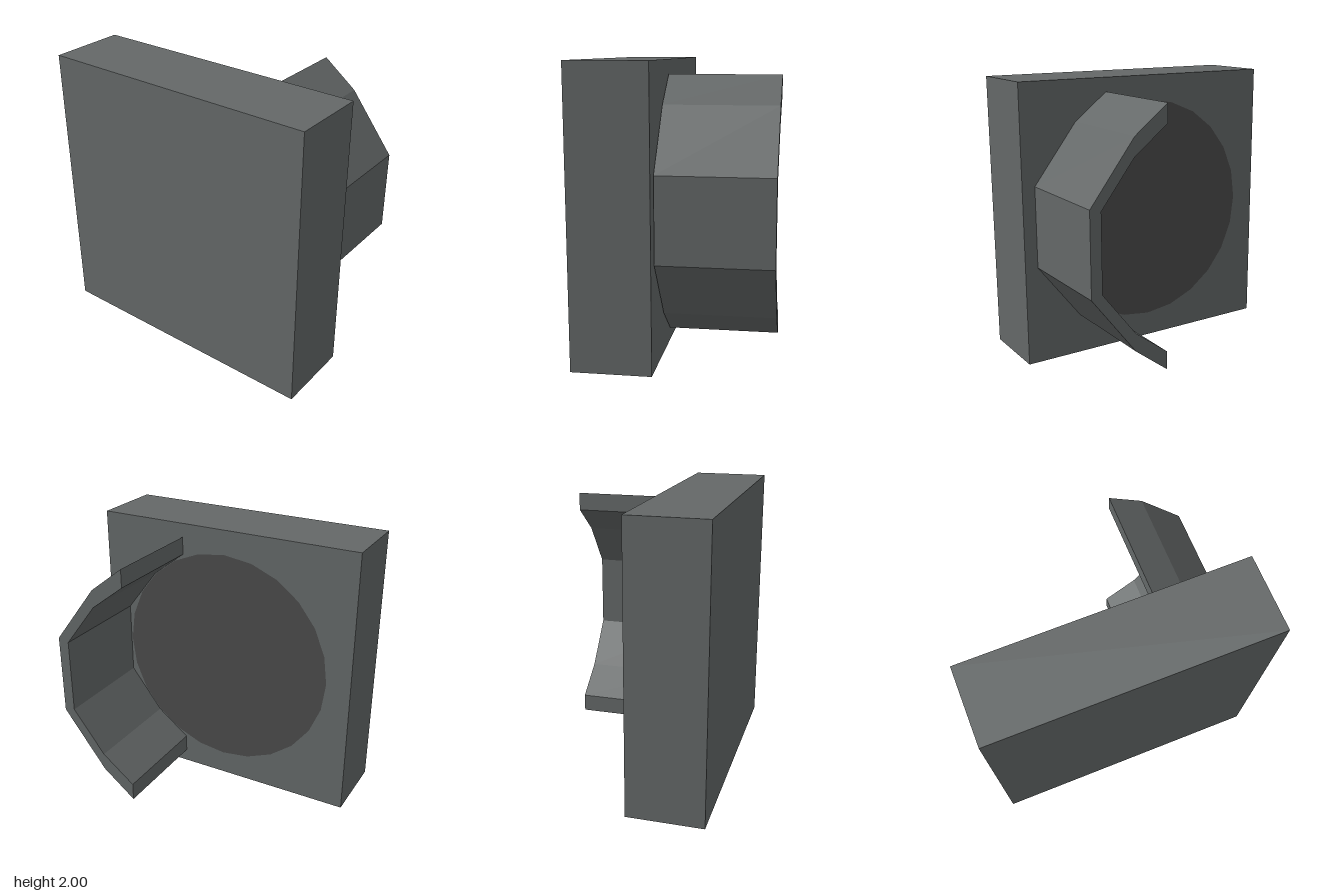
import * as THREE from 'three';

export function createModel() {
  const model = new THREE.Group();
  const bodyMat = new THREE.MeshStandardMaterial({ color: 0x646868, flatShading: true });
  const lensMat = new THREE.MeshStandardMaterial({ color: 0x4b4b4b, flatShading: true });

  const add = (name, geometry, material) => {
    const mesh = new THREE.Mesh(geometry, material);
    mesh.name = name;
    model.add(mesh);
    return mesh;
  };

  // Square lamp housing
  add('housing', new THREE.BoxGeometry(0.54, 2, 2), bodyMat).position.set(-0.388, 1, 0);

  // Flat round lens on the +x face
  const lens = add('lens', new THREE.CircleGeometry(0.82, 24), lensMat);
  lens.rotation.y = Math.PI / 2;
  lens.position.set(-0.114, 1, 0);

  // Angular visor: half profile as [z, height above centre], mirrored below
  const outer = [[0.34, 0.9], [0.585, 0.71], [0.908, 0.29]];
  const inner = [[0.34, 0.77], [0.585, 0.583], [0.828, 0.27]];
  const mirrored = (half) => [...half, ...half.map(([z, y]) => [z, -y]).reverse()];
  const outline = [...mirrored(outer), ...mirrored(inner).reverse()];
  const shape = new THREE.Shape(outline.map(([z, y]) => new THREE.Vector2(z, y)));
  const visor = add('visor',
    new THREE.ExtrudeGeometry(shape, { depth: 0.77, bevelEnabled: false }), bodyMat);
  visor.rotation.y = -Math.PI / 2;
  visor.position.set(0.656, 1, 0);

  return model;
}
